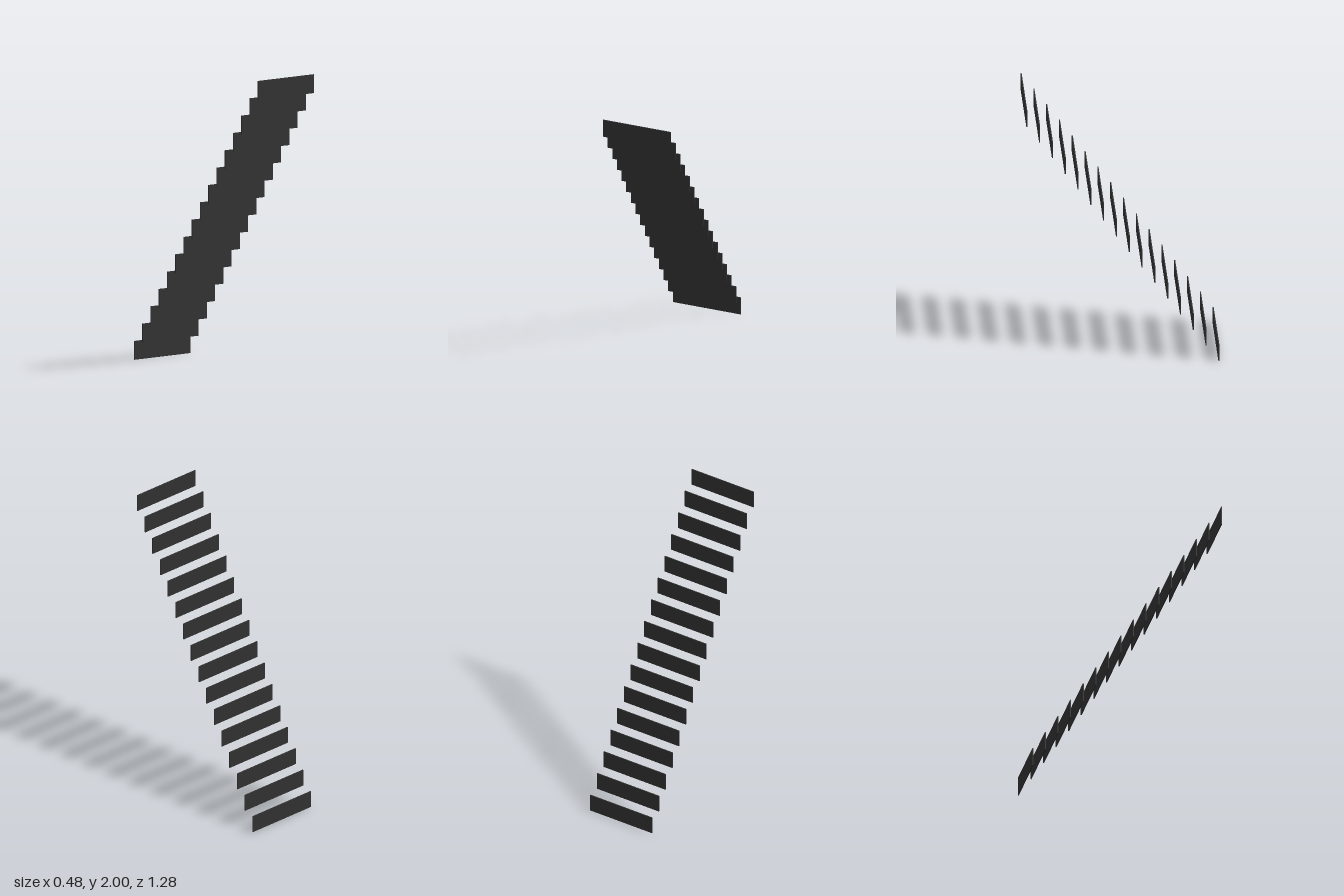
import * as THREE from 'three';

export function createModel() {
  const group = new THREE.Group();
  group.name = 'riserFlight';

  const count = 16;
  const width = 0.48;
  const rise = 2 / count;
  const run = 0.0847;
  const thickness = 0.007;

  const material = new THREE.MeshStandardMaterial({ color: 0x333333 });
  const geometry = new THREE.BoxGeometry(width, rise, thickness);

  // Thin upright riser boards, climbing towards the front
  for (let i = 0; i < count; i++) {
    const riser = new THREE.Mesh(geometry, material);
    riser.name = `riser${i + 1}`;
    riser.position.set(0, (i + 0.5) * rise, (i - (count - 1) / 2) * run);
    group.add(riser);
  }
  return group;
}
